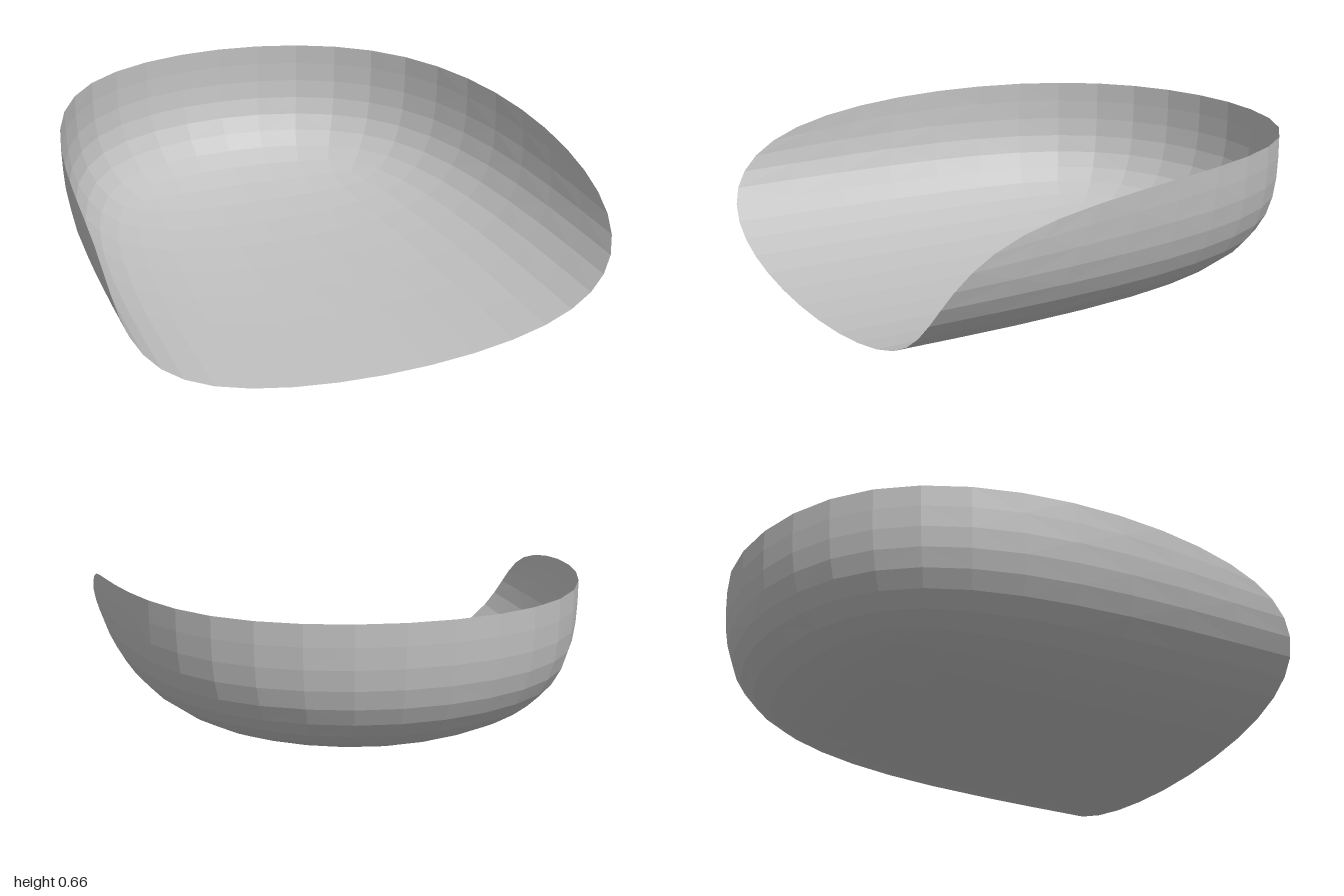
import * as THREE from 'three';

const sum = (points) => points.reduce((s, p) => s.add(p), new THREE.Vector3());

// Collects the edges of a quad mesh, and the edges and faces round each vertex
function connect(verts, quads) {
  const edges = new Map();
  const around = verts.map(() => ({ edges: [], faces: [] }));
  quads.forEach((quad, f) => quad.forEach((a, i) => {
    const b = quad[(i + 1) % 4];
    const key = Math.min(a, b) + '_' + Math.max(a, b);
    if (!edges.has(key)) {
      const edge = { a, b, faces: [], key };
      edges.set(key, edge);
      around[a].edges.push(edge);
      around[b].edges.push(edge);
    }
    edges.get(key).faces.push(f);
    around[a].faces.push(f);
  }));
  return { edges, around };
}

const other = (edge, v) => (edge.a === v ? edge.b : edge.a);
const rimEdges = (ring) => ring.edges.filter((e) => e.faces.length === 1);

// One step of Catmull-Clark rounding with a smooth open rim
function subdivide({ verts, quads }) {
  const { edges, around } = connect(verts, quads);
  const centres = quads.map((q) => sum(q.map((i) => verts[i])).divideScalar(4));
  const out = verts.map((p, v) => {
    const ring = around[v], rim = rimEdges(ring), n = ring.edges.length;
    if (rim.length) {
      return sum(rim.map((e) => verts[other(e, v)])).addScaledVector(p, 6).divideScalar(8);
    }
    const faceMean = sum(ring.faces.map((f) => centres[f])).divideScalar(n);
    const midMean = sum(ring.edges.map((e) => verts[other(e, v)]))
      .divideScalar(n).add(p).divideScalar(2);
    return faceMean.addScaledVector(midMean, 2).addScaledVector(p, n - 3).divideScalar(n);
  });
  const edgeIndex = new Map();
  for (const e of edges.values()) {
    const ends = [verts[e.a], verts[e.b]];
    const pts = e.faces.length === 1 ? ends : [...ends, ...e.faces.map((f) => centres[f])];
    edgeIndex.set(e.key, out.length);
    out.push(sum(pts).divideScalar(pts.length));
  }
  const mid = (a, b) => edgeIndex.get(Math.min(a, b) + '_' + Math.max(a, b));
  const newQuads = [];
  quads.forEach((q, f) => {
    const c = out.push(centres[f]) - 1;
    q.forEach((v, i) => newQuads.push([v, mid(v, q[(i + 1) % 4]), c, mid(q[(i + 3) % 4], v)]));
  });
  return { verts: out, quads: newQuads };
}

// Moves every vertex onto the final smooth surface
function settle({ verts, quads }) {
  const { around } = connect(verts, quads);
  const settled = verts.map((p, v) => {
    const ring = around[v], rim = rimEdges(ring), n = ring.edges.length;
    if (rim.length) {
      return sum(rim.map((e) => verts[other(e, v)])).addScaledVector(p, 4).divideScalar(6);
    }
    const near = sum(ring.edges.map((e) => verts[other(e, v)]));
    const diagonal = sum(ring.faces.map((f) => verts[quads[f][(quads[f].indexOf(v) + 2) % 4]]));
    return diagonal.addScaledVector(near, 4).addScaledVector(p, n * n).divideScalar(n * (n + 5));
  });
  return { verts: settled, quads };
}

export function createModel() {
  const grey = new THREE.MeshStandardMaterial({ color: 0xc0c0c0, flatShading: true, side: THREE.DoubleSide });
  grey.name = 'grey';

  // Box cage, open at the top and the front
  const halfWidth = 1, halfDepth = 1.045, low = -0.029, high = 0.664;
  const verts = [];
  for (let i = 0; i < 8; i++) {
    verts.push(new THREE.Vector3(i & 1 ? halfWidth : -halfWidth, i & 2 ? high : low, i & 4 ? halfDepth : -halfDepth));
  }
  // bottom, back, left, right
  let mesh = { verts, quads: [[0, 1, 5, 4], [0, 2, 3, 1], [1, 3, 7, 5], [0, 4, 6, 2]] };
  for (let level = 0; level < 3; level++) mesh = subdivide(mesh);
  mesh = settle(mesh);

  const indexed = new THREE.BufferGeometry().setFromPoints(mesh.verts);
  indexed.setIndex(mesh.quads.flatMap(([a, b, c, d]) => [a, b, c, a, c, d]));
  const geometry = indexed.toNonIndexed();
  geometry.computeVertexNormals();

  const shell = new THREE.Mesh(geometry, grey);
  shell.name = 'scoopShell';
  const group = new THREE.Group();
  group.name = 'scoop';
  group.add(shell);
  return group;
}
